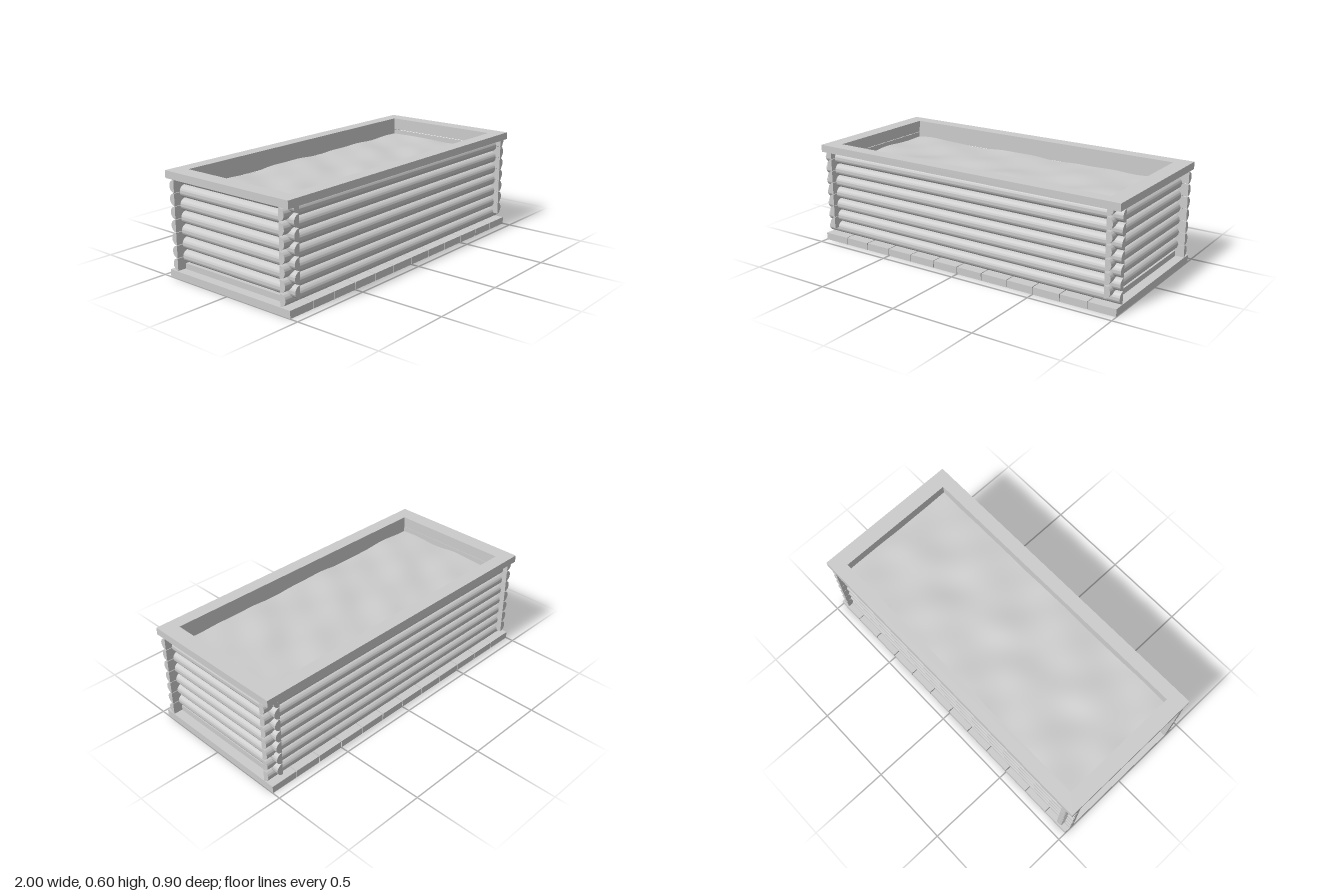
import * as THREE from 'three';
import { toCreasedNormals } from 'three/addons/utils/BufferGeometryUtils.js';

const grey = new THREE.MeshStandardMaterial({ color: 0xcccccc });
const sandMaterial = new THREE.MeshStandardMaterial({ color: 0xcccccc, side: THREE.DoubleSide });

const HALF_X = 1, HALF_Z = 0.45;         // outer footprint
const WALL_X = 0.925, WALL_Z = 0.385;    // flat backs of the logs
const LOG_R = 0.0352, PITCH = 0.0733;
const RIM_Y = 0.56, RIM_H = 0.043;

function addMesh(parent, name, geometry, x = 0, y = 0, z = 0, turn = 0) {
  const mesh = new THREE.Mesh(geometry, grey);
  mesh.name = name;
  mesh.position.set(x, y, z);
  mesh.rotation.y = turn;
  parent.add(mesh);
  return mesh;
}

// Log running along z, flat at x = 0 and rounded toward +x, from angle a to b
function logGeometry(length, a, b) {
  const shape = new THREE.Shape();
  shape.absarc(0, 0, LOG_R, a, b, false);
  if (b - a < 3) shape.lineTo(0, 0);
  shape.closePath();
  const geometry = new THREE.ExtrudeGeometry(shape, { depth: length, bevelEnabled: false, curveSegments: 16 });
  geometry.translate(0, 0, -length / 2);
  return toCreasedNormals(geometry, 0.6);
}

// Mitred rim board, drawn flat and raised by the extrusion
function rimGeometry(points) {
  const shape = new THREE.Shape(points.map(([x, z]) => new THREE.Vector2(x, -z)));
  const geometry = new THREE.ExtrudeGeometry(shape, { depth: RIM_H, bevelEnabled: false });
  return geometry.rotateX(-Math.PI / 2);
}

export function createModel() {
  const model = new THREE.Group();
  model.name = 'logPlanter';

  // Base planks
  const base = new THREE.Group();
  base.name = 'basePlanks';
  const plank = new THREE.BoxGeometry(2 / 12 - 0.005, 0.043, 2 * HALF_Z);
  for (let i = 0; i < 12; i++) addMesh(base, 'basePlank', plank, -HALF_X + (i + 0.5) / 6, 0.0215, 0);
  base.children[0].scale.x = base.children[11].scale.x = 1.015;
  model.add(base);

  // Interlocking half-log walls
  const walls = new THREE.Group();
  walls.name = 'logWalls';
  const longLog = logGeometry(2 * HALF_X, -Math.PI / 2, Math.PI / 2);
  const endLog = logGeometry(2 * HALF_Z, -Math.PI / 2, Math.PI / 2);
  const topEndLog = logGeometry(2 * HALF_Z, -Math.PI / 2, 0);
  for (const side of [1, -1]) {
    const endTurn = side > 0 ? 0 : Math.PI;
    for (let i = 0; i < 7; i++) {
      addMesh(walls, 'longLog', longLog, 0, 0.083 + i * PITCH, side * WALL_Z, -side * Math.PI / 2);
      const last = i === 6;
      addMesh(walls, last ? 'topEndLog' : 'endLog', last ? topEndLog : endLog,
        side * WALL_X, 0.12 + i * PITCH, 0, endTurn);
    }
    // Filler board beneath the lowest end log
    addMesh(walls, 'endFiller', new THREE.BoxGeometry(0.03, 0.034, 2 * WALL_Z), side * 0.93, 0.061, 0);
  }
  model.add(walls);

  // Mitred rim
  const rim = new THREE.Group();
  rim.name = 'rim';
  const ix = 0.906, iz = 0.37;
  const longRim = rimGeometry([[-HALF_X, HALF_Z], [HALF_X, HALF_Z], [ix, iz], [-ix, iz]]);
  const endRim = rimGeometry([[HALF_X, HALF_Z], [HALF_X, -HALF_Z], [ix, -iz], [ix, iz]]);
  for (const turn of [0, Math.PI]) {
    addMesh(rim, 'longRimBoard', longRim, 0, RIM_Y, 0, turn);
    addMesh(rim, 'endRimBoard', endRim, 0, RIM_Y, 0, turn);
  }
  model.add(rim);

  // Gently uneven fill
  const fill = new THREE.PlaneGeometry(2 * WALL_X, 2 * WALL_Z, 72, 32).rotateX(-Math.PI / 2);
  const p = fill.attributes.position;
  for (let i = 0; i < p.count; i++) {
    const x = p.getX(i), z = p.getZ(i);
    const bump = Math.sin(11 * x + 5 * z + 2 * Math.sin(7 * z))
      + 0.7 * Math.sin(17 * z - 8 * x + 1.3) + 0.5 * Math.sin(23 * x + 13 * z + 0.5);
    p.setY(i, 0.004 * bump);
  }
  fill.computeVertexNormals();
  addMesh(model, 'fillSurface', fill, 0, 0.492, 0).material = sandMaterial;

  return model;
}
